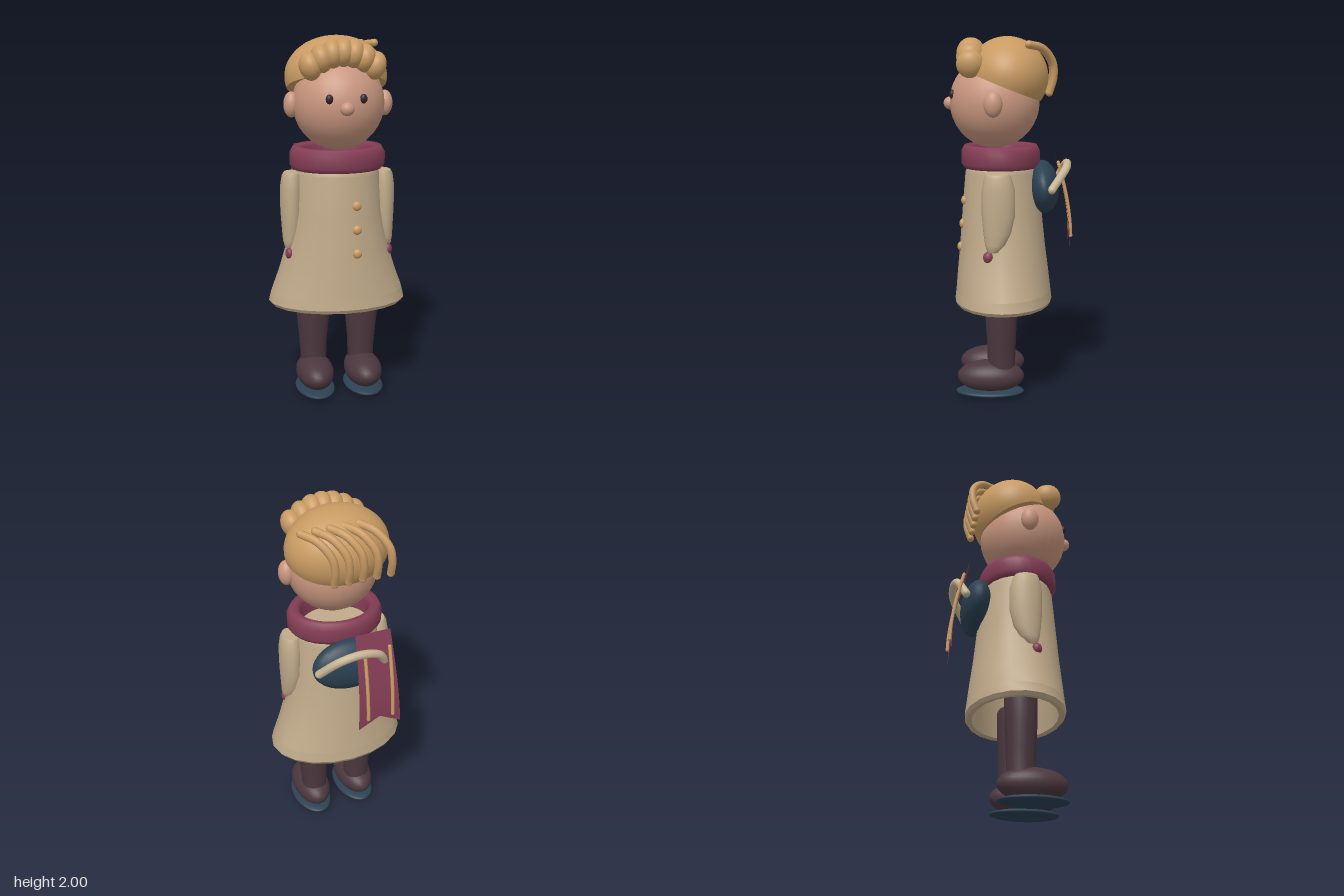
import * as THREE from 'three';

const mat = (name, color, side = THREE.FrontSide) => {
  const m = new THREE.MeshStandardMaterial({ color, side });
  m.name = name;
  return m;
};

export function createModel() {
  const skin = mat('skin', 0xc9977f);
  const hair = mat('hair', 0xc99b63);
  const cloth = mat('coat cloth', 0xc0aa8a);
  const wool = mat('scarf wool', 0x853d55, THREE.DoubleSide);
  const leather = mat('boot leather', 0x4b373e);
  const navy = mat('navy', 0x2b4152);
  const eyeDark = mat('eye dark', 0x33232e);
  const cream = mat('strap cream', 0xc8b595);

  const model = new THREE.Group();
  const add = (name, geometry, material, parent = model) => {
    const mesh = new THREE.Mesh(geometry, material);
    mesh.name = name;
    parent.add(mesh);
    return mesh;
  };
  const ball = (name, material, pos, radii, parent) => {
    const mesh = add(name, new THREE.SphereGeometry(1, 28, 18), material, parent);
    mesh.position.set(...pos);
    mesh.scale.set(...radii);
    return mesh;
  };
  const tube = (name, material, pts, r, parent) => {
    const path = new THREE.CatmullRomCurve3(pts.map((p) => new THREE.Vector3(...p)));
    add(name, new THREE.TubeGeometry(path, 24, r, 10), material, parent);
    // closed tube ends
    for (const p of [pts[0], pts[pts.length - 1]]) ball(name + 'End', material, p, [r, r, r], parent);
  };
  // Skin over elliptical rings [y, cx, cz, rx, rz], listed from the top down; repeated rings make a crease
  const loft = (rings, n) => {
    const pos = [], index = [];
    rings.forEach(([y, cx, cz, rx, rz], i) => {
      for (let j = 0; j < n; j++) {
        const a = (j / n) * Math.PI * 2;
        pos.push(cx + rx * Math.sin(a), y, cz + rz * Math.cos(a));
        if (i < rings.length - 1) {
          const k = (j + 1) % n, u = i * n, d = u + n;
          index.push(u + j, d + j, d + k, u + j, d + k, u + k);
        }
      }
    });
    const g = new THREE.BufferGeometry();
    g.setAttribute('position', new THREE.Float32BufferAttribute(pos, 3));
    g.setIndex(index);
    g.computeVertexNormals();
    return g;
  };

  // Head and face
  const head = new THREE.Group();
  head.name = 'head';
  model.add(head);
  ball('face', skin, [0, 1.647, 0.078], [0.25, 0.255, 0.25], head);
  ball('nose', skin, [0, 1.64, 0.325], [0.038, 0.036, 0.036], head);
  for (const s of [-1, 1]) {
    ball('ear', skin, [s * 0.258, 1.642, 0.078], [0.042, 0.07, 0.05], head);
    ball('eye', eyeDark, [s * 0.09, 1.69, 0.306], [0.02, 0.025, 0.016], head);
  }

  // Hair cap: a tilted dome closed underneath
  const dome = [new THREE.Vector2(0, -0.055)];
  for (let i = 0; i <= 20; i++) {
    const a = Math.PI * 0.58 * (1 - i / 20);
    const p = new THREE.Vector2(Math.sin(a), 0.22 * Math.cos(a));
    if (i === 0) dome.push(p.clone());
    dome.push(p);
  }
  const cap = add('hairCap', new THREE.LatheGeometry(dome, 40), hair, head);
  cap.scale.set(0.282, 1, 0.225);
  cap.rotation.x = -0.38;
  cap.position.set(0, 1.784, 0.005);

  // Fringe: seven curls in an arch
  for (let i = -3; i <= 3; i++) {
    const x = i * 0.058;
    const curl = ball('fringeCurl', hair, [x, 1.922 - 2.3 * x * x, 0.208 - 0.2 * x * x], [0.058, 0.076, 0.076], head);
    curl.rotation.z = -x * 1.5;
  }

  // Locks swept back over the crown
  for (let i = 0; i < 5; i++) {
    const x = 0.11 - 0.0775 * i;
    tube('hairLock', hair, [
      [x + 0.13, 1.955, -0.11], [x + 0.07, 1.935, -0.185],
      [x + 0.015, 1.86, -0.24], [x, 1.78, -0.245], [x - 0.005, 1.7, -0.222],
    ], 0.021, head);
  }

  // Scarf ring
  const scarfProfile = [
    [0.185, 1.3], [0.21, 1.285], [0.245, 1.285], [0.265, 1.31], [0.265, 1.375],
    [0.245, 1.41], [0.21, 1.41], [0.185, 1.385], [0.185, 1.3],
  ].map((p) => new THREE.Vector2(...p));
  const scarf = add('scarf', new THREE.LatheGeometry(scarfProfile, 32), wool);
  scarf.scale.z = 0.83;
  scarf.position.z = 0.045;

  // Coat: flared outside, hem, and inner lining
  add('coat', loft([
    [1.285, 0, 0.04, 0, 0], [1.285, 0, 0.04, 0.228, 0.19], [1.285, 0, 0.04, 0.228, 0.19],
    [1.26, 0, 0.04, 0.238, 0.202], [1.05, 0, 0.038, 0.253, 0.222], [0.85, 0, 0.035, 0.29, 0.24],
    [0.7, 0, 0.032, 0.335, 0.257], [0.59, 0, 0.03, 0.376, 0.268], [0.59, 0, 0.03, 0.376, 0.268],
    [0.535, 0, 0.03, 0.39, 0.275], [0.535, 0, 0.03, 0.39, 0.275],
    [0.515, 0, 0.03, 0.375, 0.264], [0.515, 0, 0.03, 0.375, 0.264],
    [0.52, 0, 0.03, 0.34, 0.235], [0.52, 0, 0.03, 0.34, 0.235],
    [0.75, 0, 0.03, 0.29, 0.22], [1.1, 0, 0.03, 0.22, 0.19], [1.1, 0, 0.03, 0, 0],
  ], 20), cloth);

  [[1.105, 0.253], [0.975, 0.264], [0.845, 0.276]].forEach(([y, z]) =>
    ball('button', hair, [0.07, y, z - 0.008], [0.026, 0.026, 0.018]));

  for (const s of [-1, 1]) {
    // Sleeve and mitten
    add('sleeve', loft([
      [1.27, s * 0.255, 0.055, 0, 0], [1.27, s * 0.255, 0.055, 0.044, 0.065], [1.27, s * 0.255, 0.055, 0.044, 0.065],
      [1.25, s * 0.256, 0.053, 0.055, 0.074], [1.18, s * 0.26, 0.05, 0.061, 0.09], [1.05, s * 0.26, 0.05, 0.06, 0.09],
      [0.95, s * 0.262, 0.057, 0.052, 0.074], [0.89, s * 0.268, 0.067, 0.042, 0.055],
      [0.85, s * 0.275, 0.08, 0.026, 0.03], [0.845, s * 0.275, 0.08, 0, 0],
    ], 20), cloth);
    ball('mitten', wool, [s * 0.278, 0.822, 0.105], [0.025, 0.032, 0.028]);

    // Leg, boot and sole
    add('leg', loft([
      [0.62, s * 0.14, 0.04, 0, 0], [0.62, s * 0.14, 0.04, 0.085, 0.08], [0.6, s * 0.14, 0.04, 0.096, 0.09],
      [0.45, s * 0.14, 0.04, 0.094, 0.088], [0.3, s * 0.14, 0.038, 0.08, 0.08],
      [0.2, s * 0.138, 0.038, 0.074, 0.077], [0.1, s * 0.138, 0.038, 0.074, 0.077],
    ], 24), leather);
    ball('boot', leather, [s * 0.14, 0.115, 0.098], [0.105, 0.09, 0.188]);
    ball('sole', navy, [s * 0.14, 0.027, 0.102], [0.11, 0.025, 0.192]);
  }

  // Bag on the back with its handle
  const bag = ball('bag', navy, [0, 1.175, -0.195], [0.22, 0.148, 0.086]);
  bag.rotation.x = 0.08;
  tube('bagHandle', cream, [
    [-0.17, 1.18, -0.268], [-0.11, 1.275, -0.31], [0, 1.308, -0.325], [0.11, 1.285, -0.315], [0.2, 1.18, -0.238],
  ], 0.023);

  // Scarf tail: a curved strip with a swallowtail end and two cords
  const tailZ = (t) => -0.25 - 0.095 * Math.sin(t * 1.7);
  const strip = new THREE.PlaneGeometry(1, 1, 2, 12);
  const p = strip.attributes.position;
  for (let i = 0; i < p.count; i++) {
    const u = p.getX(i), t = 0.5 - p.getY(i);
    const notch = u === 0 ? 0.065 * t ** 6 : 0;
    p.setXYZ(i, -0.1 - 0.012 * t + u * (0.2 + 0.05 * t), 1.38 - 0.56 * t + notch, tailZ(t));
  }
  strip.computeVertexNormals();
  add('scarfTail', strip, wool);
  for (const x of [-0.185, -0.04]) {
    const pts = [0.16, 0.35, 0.55, 0.75, 0.88].map((t) => [x, 1.38 - 0.56 * t, tailZ(t) - 0.008]);
    tube('tailCord', hair, pts, 0.01);
  }

  return model;
}
